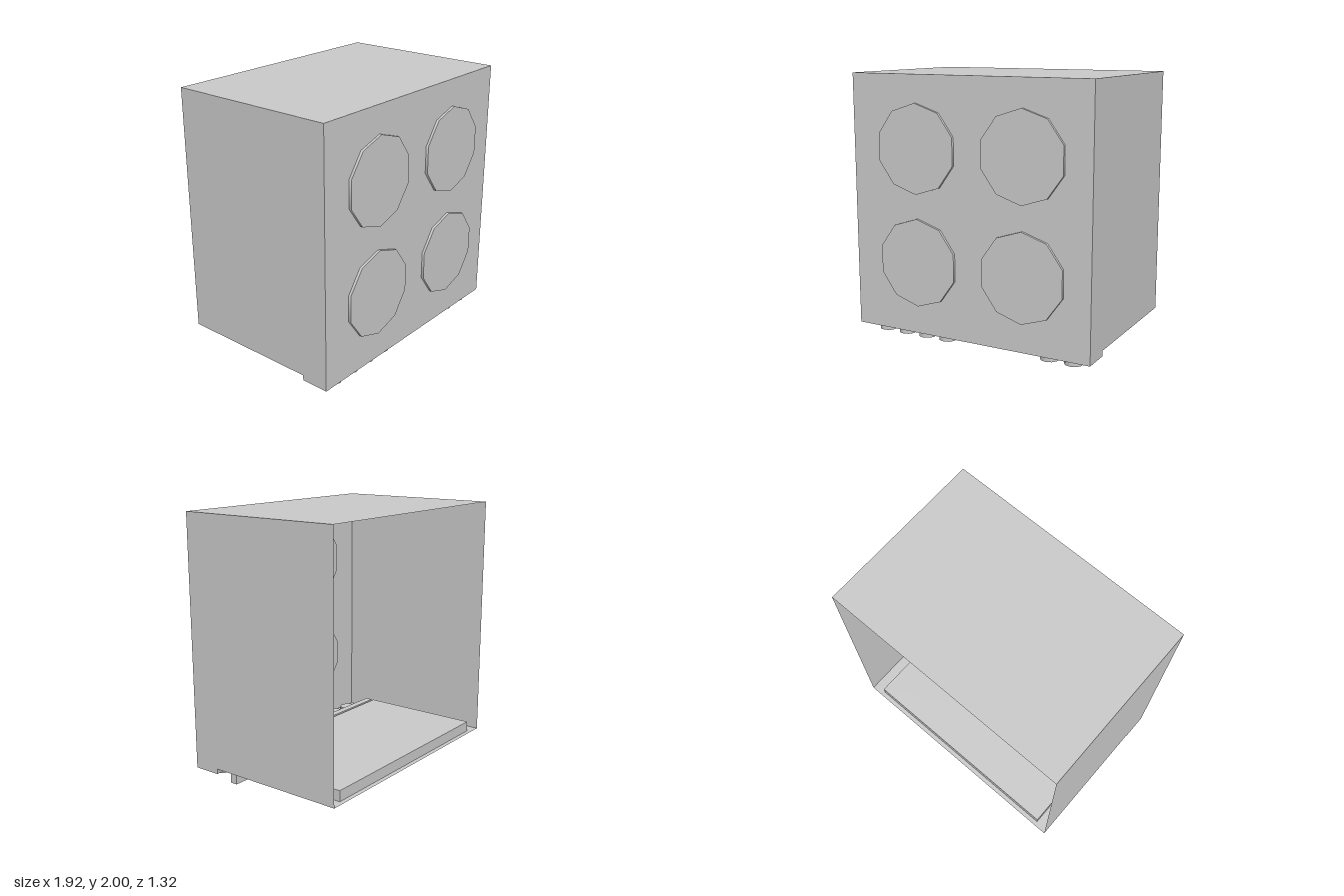
import * as THREE from 'three';

export function createModel() {
  const model = new THREE.Group();
  const mat = new THREE.MeshStandardMaterial({ color: 0xcccccc, side: THREE.DoubleSide });

  function add(name, geometry, x, y, z, parent = model) {
    const mesh = new THREE.Mesh(geometry, mat);
    mesh.name = name;
    mesh.position.set(x, y, z);
    parent.add(mesh);
    return mesh;
  }

  // Side profile as [z, y]; the back, between the last and first points, is open
  const half = 0.96;
  const profile = [
    [-0.66, 2], [0.64, 2], [0.64, 0.095], [0.43, 0.095], [0.425, 0.135], [-0.66, 0.135],
  ];
  const body = new THREE.Group();
  body.name = 'body';
  model.add(body);

  // Top, front, stepped panel and floor, swept across the width
  const pos = [];
  for (let i = 0; i < profile.length - 1; i++) {
    const [z0, y0] = profile[i];
    const [z1, y1] = profile[i + 1];
    pos.push(-half, y0, z0, -half, y1, z1, half, y1, z1);
    pos.push(-half, y0, z0, half, y1, z1, half, y0, z0);
  }
  const wrap = new THREE.BufferGeometry();
  wrap.setAttribute('position', new THREE.Float32BufferAttribute(pos, 3));
  wrap.computeVertexNormals();
  add('casing', wrap, 0, 0, 0, body);

  // Flat side walls
  for (const s of [-1, 1]) {
    const pts = profile.map(([z, y]) => new THREE.Vector2(-s * z, y));
    const wall = add(s > 0 ? 'leftWall' : 'rightWall', new THREE.ShapeGeometry(new THREE.Shape(pts)), s * half, 0, 0, body);
    wall.rotation.y = s * Math.PI / 2;
  }

  // Ten-sided hot plates, passing through the front wall
  for (const x of [-0.41, 0.445]) {
    for (const y of [0.635, 1.47]) {
      const plate = add('hotPlate', new THREE.CylinderGeometry(0.328, 0.328, 0.04, 10), x, y, 0.64);
      plate.rotation.x = Math.PI / 2;
    }
  }

  // Control knobs under the front panel
  for (const x of [-0.77, -0.59, -0.41, -0.23, 0.61, 0.795]) {
    add('knob', new THREE.CylinderGeometry(0.07, 0.07, 0.085, 10), x, 0.0925, 0.535);
  }

  // Oven door and its long handle, both set through the floor
  add('ovenDoor', new THREE.BoxGeometry(1.71, 0.095, 0.945), 0, 0.1675, -0.1525);
  add('doorHandle', new THREE.BoxGeometry(1.71, 0.215, 0.055), 0, 0.1075, 0.3675);

  return model;
}
